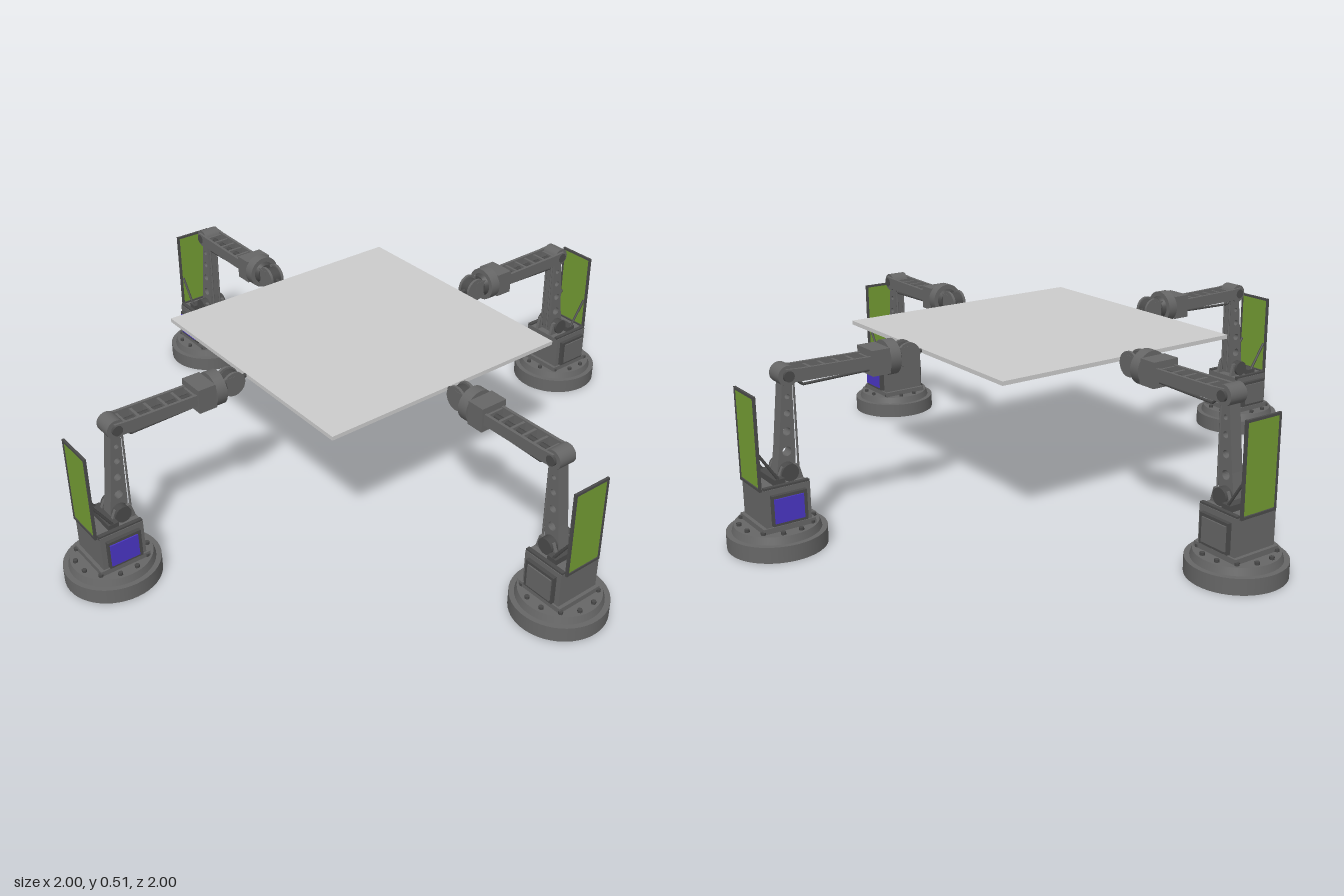
import * as THREE from 'three';

const mat = (color) => new THREE.MeshStandardMaterial({ color });
const steel = mat(0x666666), dark = mat(0x4a4a4a), green = mat(0x739b33), blue = mat(0x4a36c4), grey = mat(0xcccccc);

function add(parent, name, geometry, material, x = 0, y = 0, z = 0) {
  const mesh = new THREE.Mesh(geometry, material);
  mesh.name = name;
  mesh.position.set(x, y, z);
  parent.add(mesh);
  return mesh;
}
const box = (w, h, d) => new THREE.BoxGeometry(w, h, d);
const cyl = (r, h, n = 24, r2 = r) => new THREE.CylinderGeometry(r2, r, h, n);
const cylX = (r, h, n, r2) => cyl(r, h, n, r2).rotateZ(-Math.PI / 2);
const cylZ = (r, h, n) => cyl(r, h, n).rotateX(Math.PI / 2);

// Round bar between two points
function bar(parent, name, a, b, r, material = steel) {
  const p = new THREE.Vector3(...a), q = new THREE.Vector3(...b);
  const mesh = add(parent, name, cyl(r, p.distanceTo(q), 8), material);
  mesh.position.copy(p).lerp(q, 0.5);
  mesh.quaternion.setFromUnitVectors(new THREE.Vector3(0, 1, 0), q.sub(p).normalize());
}

// Side profile in x and y, extruded across z
function profile(points, holes, depth) {
  const shape = new THREE.Shape(points.map(([x, y]) => new THREE.Vector2(x, y)));
  for (const [x, y, r] of holes) shape.holes.push(new THREE.Path().absarc(x, y, r, 0, Math.PI * 2, true));
  return new THREE.ExtrudeGeometry(shape, { depth, bevelEnabled: false, curveSegments: 10 }).translate(0, 0, -depth / 2);
}

function base(arm) {
  add(arm, 'baseDisc', cyl(0.135, 0.045, 48), steel, 0, 0.0225);
  add(arm, 'turntable', cyl(0.12, 0.02, 48, 0.114), steel, 0, 0.055);
  for (let i = 0; i < 12; i++) {
    const a = ((i + 0.5) / 12) * Math.PI * 2;
    add(arm, 'baseBolt', cyl(0.007, 0.01, 6), dark, Math.cos(a) * 0.1, 0.068, Math.sin(a) * 0.1);
  }
}

function cabinet(arm) {
  add(arm, 'cabinetFoot', box(0.15, 0.02, 0.15), steel, 0.005, 0.07);
  add(arm, 'cabinet', box(0.13, 0.115, 0.14), steel, 0.005, 0.127);
  for (const s of [1, -1]) {
    add(arm, 'sidePlate', box(0.1, 0.085, 0.012), dark, 0.005, 0.127, s * 0.076);
    add(arm, 'sideScreen', box(0.084, 0.068, 0.006), s > 0 ? blue : steel, 0.002, 0.127, s * 0.083);
    add(arm, 'cabinetRim', box(0.13, 0.012, 0.012), dark, 0.005, 0.184, s * 0.062);
    add(arm, 'shoulderCheek', profile([[-0.01, 0.18], [0.07, 0.18], [0.058, 0.225], [0.01, 0.225]], [], 0.01), steel, 0, 0, s * 0.03);
  }
}

function shield(arm) {
  add(arm, 'shieldPanel', box(0.004, 0.245, 0.108), green, -0.066, 0.312);
  for (const s of [1, -1]) {
    add(arm, 'shieldFrameSide', box(0.007, 0.26, 0.007), dark, -0.066, 0.31, s * 0.057);
    add(arm, 'shieldFrameEnd', box(0.007, 0.007, 0.12), dark, -0.066, 0.31 + s * 0.126, 0);
    bar(arm, 'shieldStrut', [-0.064, 0.283, s * 0.05], [-0.01, 0.2, s * 0.05], 0.004, dark);
  }
  add(arm, 'strutFoot', box(0.03, 0.018, 0.11), dark, -0.008, 0.193);
}

function lowerArm(arm) {
  add(arm, 'shoulderPivot', cylZ(0.024, 0.085), dark, 0.03, 0.208);
  add(arm, 'lowerArmWeb', profile(
    [[0, 0.19], [0.055, 0.19], [0.058, 0.25], [0.06, 0.46], [0.033, 0.46], [0.012, 0.27]],
    [[0.034, 0.26, 0.013], [0.037, 0.315, 0.011], [0.041, 0.365, 0.009], [0.044, 0.41, 0.007]], 0.036), steel);
  for (const s of [1, -1]) bar(arm, 'lowerArmRod', [0.067, 0.2, s * 0.012], [0.067, 0.46, s * 0.012], 0.003);
  add(arm, 'elbowDrum', cylZ(0.028, 0.056), steel, 0.046, 0.468);
  add(arm, 'elbowCap', cylZ(0.015, 0.072), dark, 0.046, 0.468);
}

function forearm(arm) {
  // Open ladder frame with control rods below
  for (const s of [1, -1]) {
    add(arm, 'forearmRail', profile(
      [[0.04, 0.452], [0.08, 0.45], [0.29, 0.448], [0.29, 0.482], [0.08, 0.485], [0.04, 0.488]], [], 0.009), steel, 0, 0, s * 0.031);
    bar(arm, 'controlRod', [0.09, 0.437, s * 0.02], [0.29, 0.442, s * 0.02], 0.004, dark);
    bar(arm, 'controlLink', [0.06, 0.462, s * 0.02], [0.09, 0.437, s * 0.02], 0.004, dark);
  }
  for (let i = 0; i < 6; i++) add(arm, 'forearmRung', box(0.008, 0.026, 0.06), steel, 0.075 + i * 0.042, 0.466);
  bar(arm, 'driveShaft', [0.046, 0.466, 0], [0.29, 0.466, 0], 0.008, dark);
}

function wrist(arm) {
  const y = 0.463;
  add(arm, 'wristHousing', box(0.055, 0.072, 0.084), steel, 0.315, y);
  add(arm, 'wristCollar', cylX(0.05, 0.032, 32), steel, 0.358, y);
  add(arm, 'wristNeck', cylX(0.036, 0.012, 24, 0.03), dark, 0.38, y);
  for (const s of [1, -1]) {
    add(arm, 'wristFork', box(0.04, 0.05, 0.01), steel, 0.395, y, s * 0.019);
    add(arm, 'wristDisc', cylZ(0.036, 0.008), steel, 0.413, y, s * 0.019);
  }
  add(arm, 'wristJoint', cylZ(0.03, 0.034), dark, 0.416, y);
  add(arm, 'gripRod', cylX(0.006, 0.06, 12), dark, 0.45, y);
}

export function createModel() {
  const model = new THREE.Group();
  model.name = 'platformHeldByFourArms';
  add(model, 'platform', box(0.8, 0.012, 0.8), grey, 0, 0.463, 0);

  // Four identical arms, a quarter turn apart, reaching inwards
  for (let i = 0; i < 4; i++) {
    const turn = new THREE.Group();
    turn.name = 'armStation';
    turn.rotation.y = (i * Math.PI) / 2;
    const arm = new THREE.Group();
    arm.name = 'robotArm';
    arm.position.x = -0.865;
    for (const build of [base, cabinet, shield, lowerArm, forearm, wrist]) build(arm);
    turn.add(arm);
    model.add(turn);
  }
  return model;
}
